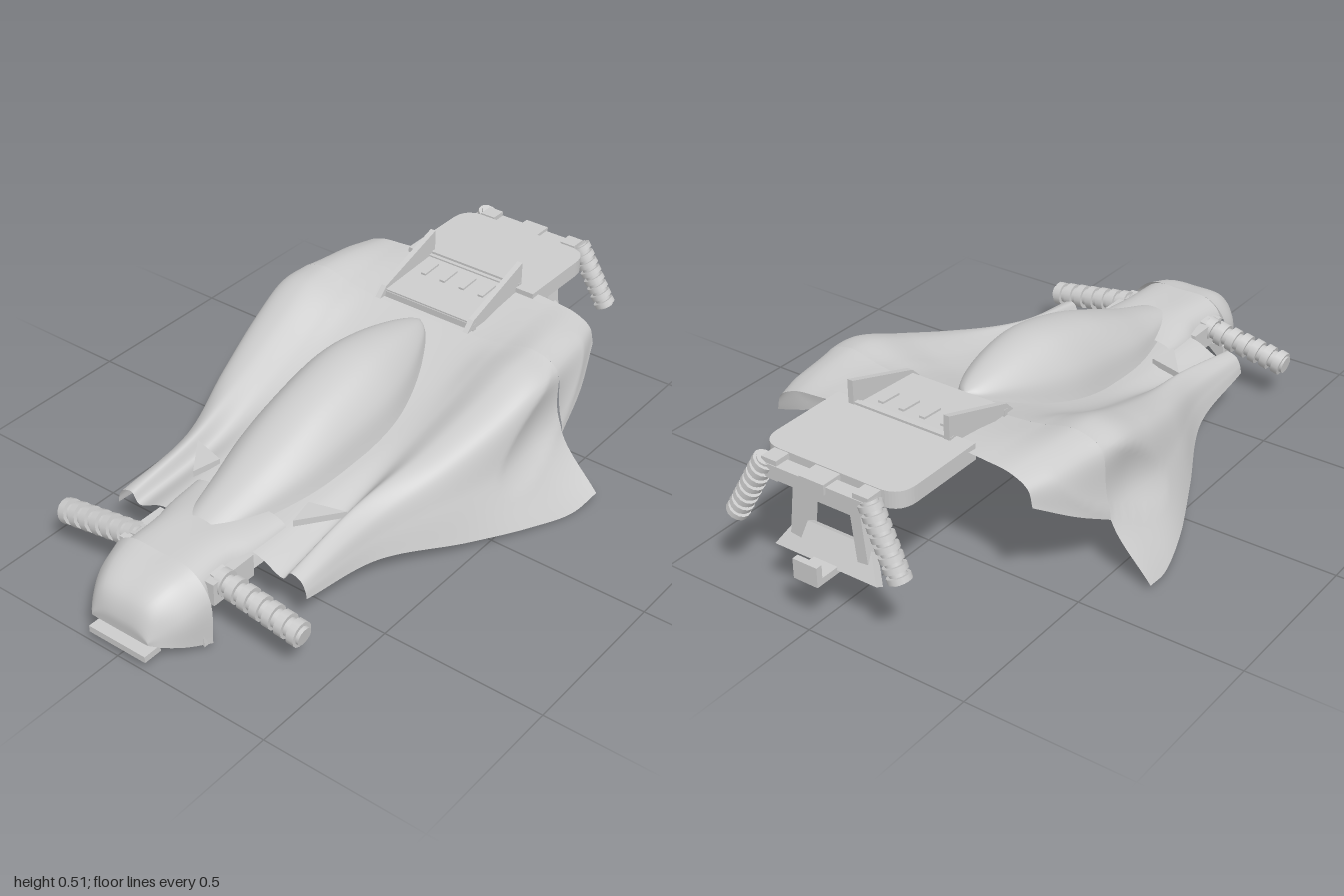
import * as THREE from 'three';

const grey = new THREE.MeshStandardMaterial({ color: 0xcccccc, side: THREE.DoubleSide });
grey.name = 'hull grey';

function add(group, name, geo, x = 0, y = 0, z = 0) {
  const m = new THREE.Mesh(geo, grey);
  m.name = name;
  m.position.set(x, y, z);
  group.add(m);
  return m;
}
const box = (w, h, d) => new THREE.BoxGeometry(w, h, d);

// Smooth mirrored skin through half sections [z, x0, y0, x1, y1, ...], centre to edge
function loft(stations, nz, nx) {
  const count = (stations[0].length - 1) / 2;
  const rails = [];
  for (let i = 0; i < count; i++) {
    rails.push(new THREE.CatmullRomCurve3(
      stations.map(s => new THREE.Vector3(s[1 + 2 * i], s[2 + 2 * i], s[0])), false, 'centripetal'));
  }
  const pos = [], index = [];
  for (let j = 0; j <= nz; j++) {
    const half = rails.map(r => r.getPoint(j / nz));
    const full = half.slice(1).reverse().map(p => new THREE.Vector3(-p.x, p.y, p.z)).concat(half);
    const c = new THREE.CatmullRomCurve3(full, false, 'centripetal');
    for (let i = 0; i <= nx; i++) pos.push(...c.getPoint(i / nx).toArray());
  }
  for (let j = 0; j < nz; j++) for (let i = 0; i < nx; i++) {
    const a = j * (nx + 1) + i, b = a + nx + 1;
    index.push(a, a + 1, b, a + 1, b + 1, b);
  }
  const g = new THREE.BufferGeometry();
  g.setAttribute('position', new THREE.Float32BufferAttribute(pos, 3));
  g.setIndex(index);
  g.computeVertexNormals();
  return g;
}

// Press a shallow slanted lens-shaped hollow into both flanks
function hollowFlanks(g) {
  const p = g.attributes.position;
  for (let i = 0; i < p.count; i++) {
    const x = p.getX(i), dy = p.getY(i) - 0.275, dz = -0.29 - p.getZ(i);
    const along = (dz * 0.86 + dy * 0.5) / 0.27, across = (dy * 0.86 - dz * 0.5) / 0.09;
    const d = Math.max(0, 1 - along * along - across * across);
    const side = THREE.MathUtils.smoothstep(Math.abs(x), 0.38, 0.44);
    p.setX(i, x - Math.sign(x) * 0.018 * d * side);
  }
  g.computeVertexNormals();
  return g;
}

// Extruded outline of [x, y] pairs, centred in depth
function plate(points, depth) {
  const s = new THREE.Shape(points.map(p => new THREE.Vector2(...p)));
  return new THREE.ExtrudeGeometry(s, { depth, bevelEnabled: false }).translate(0, 0, -depth / 2);
}

// Ribbed bar between two points
function ribbedBar(name, a, b, r, ribs) {
  const g = new THREE.Group();
  g.name = name;
  const dir = b.clone().sub(a), len = dir.length();
  add(g, 'barCore', new THREE.CylinderGeometry(r * 0.72, r * 0.72, len, 14), 0, len / 2, 0);
  for (let i = 0; i < ribs; i++) {
    const rib = add(g, 'barRib', new THREE.CylinderGeometry(r, r, len / ribs * 0.58, 14),
      0, len * (i + 0.5) / ribs, 0);
    rib.rotation.z = 0.1;
  }
  g.position.copy(a);
  g.quaternion.setFromUnitVectors(new THREE.Vector3(0, 1, 0), dir.normalize());
  return g;
}

export function createModel() {
  const model = new THREE.Group();
  model.name = 'hoverCraft';

  // Main shell with shoulder pods and flared flanks
  add(model, 'mainShell', hollowFlanks(loft([
    [0.63, 0, .19, .17, .19, .26, .155, .285, .185, .32, .175, .335, .15, .34, .125],
    [0.35, 0, .21, .17, .21, .25, .19, .285, .235, .33, .205, .35, .15, .365, .09],
    [0.1, 0, .25, .18, .25, .25, .255, .33, .29, .40, .27, .44, .17, .48, .045],
    [-0.1, 0, .30, .19, .30, .26, .315, .36, .355, .45, .33, .49, .18, .57, .02],
    [-0.25, 0, .35, .2, .355, .27, .375, .38, .41, .475, .375, .495, .19, .615, .002],
    [-0.35, 0, .385, .2, .39, .28, .40, .39, .42, .48, .375, .5, .18, .63, .02]
  ], 50, 120)));
  add(model, 'rearShell', hollowFlanks(loft([
    [-0.35, 0, .385, .2, .39, .28, .40, .39, .42, .48, .375, .5, .18],
    [-0.48, 0, .41, .2, .412, .28, .415, .38, .418, .455, .38, .475, .25],
    [-0.61, 0, .425, .2, .425, .28, .42, .36, .41, .415, .38, .43, .33]
  ], 24, 120)));

  // Canopy
  const canopy = [
    [0.655, .065, .21, .245], [0.5, .108, .21, .295], [0.35, .145, .22, .355], [0.2, .16, .235, .41],
    [0.02, .165, .26, .448], [-0.1, .14, .29, .446], [-0.22, .09, .34, .425], [-0.3, .04, .37, .402],
    [-0.325, .004, .385, .39]
  ].map(([z, w, lo, hi]) => [z, 0, hi, w * .45, hi - (hi - lo) * .1, w * .85, lo + (hi - lo) * .5, w, lo]);
  add(model, 'canopy', loft(canopy, 44, 32));

  // Neck and blunt nose with upright cheeks
  add(model, 'neck', loft([
    [0.5, 0, .225, .08, .225, .13, .22, .16, .205, .175, .16],
    [0.62, 0, .238, .08, .236, .13, .22, .155, .195, .17, .15],
    [0.7, 0, .24, .08, .238, .12, .22, .14, .19, .155, .14],
    [0.83, 0, .235, .09, .23, .125, .21, .145, .18, .15, .13]
  ], 16, 28));
  add(model, 'nose', loft([
    [0.82, 0, .238, .1, .235, .15, .2, .175, .15, .175, .015],
    [0.9, 0, .218, .09, .213, .13, .18, .155, .13, .155, .045],
    [0.96, 0, .18, .07, .177, .1, .155, .12, .11, .125, .07],
    [0.985, 0, .125, .05, .123, .08, .11, .1, .09, .1, .08],
    [0.985, 0, .08, .05, .08, .08, .08, .1, .08, .1, .078]
  ], 20, 40));
  add(model, 'chinPlate', box(0.2, 0.02, 0.06), 0, 0.042, 0.97);
  add(model, 'chinRiser', box(0.2, 0.035, 0.02), 0, 0.062, 0.935);
  add(model, 'chinPanel', box(0.24, 0.015, 0.1), 0, 0.08, 0.91);

  for (const s of [-1, 1]) {
    // Cheek wedge under the nose
    add(model, 'noseCheek', plate([[s * .1, .08], [s * .168, .08], [s * .172, .02]], 0.03), 0, 0, 0.835);
    // Front grips and mounts
    model.add(ribbedBar('frontGrip', new THREE.Vector3(s * 0.14, 0.176, 0.75),
      new THREE.Vector3(s * 0.43, 0.128, 0.75), 0.038, 7));
    add(model, 'gripMount', box(0.035, 0.07, 0.16), s * 0.15, 0.16, 0.72);
    add(model, 'gripBlock', box(0.05, 0.08, 0.05), s * 0.135, 0.16, 0.75).rotation.z = -s * 0.2;
    // Small gusset beside the canopy
    const gusset = add(model, 'gusset',
      plate([[s * .16, -.4], [s * .27, -.37], [s * .18, -.49]], 0.02), 0, 0.212, 0);
    gusset.rotation.x = -Math.PI / 2;
    // Upright fin of the deck vent
    const fin = add(model, 'ventFin', plate([[-.33, .40], [-.61, .40], [-.61, .51], [-.36, .43]], 0.018), s * 0.16, 0, 0);
    fin.rotation.y = -Math.PI / 2;
    fin.position.z = 0;
    // Rear grips
    model.add(ribbedBar('rearGrip', new THREE.Vector3(s * 0.17, 0.43, -0.935),
      new THREE.Vector3(s * 0.275, 0.235, -0.95), 0.033, 8));
    // Uprights of the rear frame
    add(model, 'frameUpright', box(0.035, 0.2, 0.06), s * 0.1, 0.3, -0.875).rotation.z = s * 0.12;
    add(model, 'frameShoulder', box(0.05, 0.06, 0.05), s * 0.15, 0.41, -0.92);
  }

  // Deck vent with four slots
  add(model, 'ventPanel', box(0.31, 0.015, 0.25), 0, 0.42, -0.485).rotation.x = 0.06;
  add(model, 'ventRearLip', box(0.34, 0.03, 0.015), 0, 0.43, -0.6);
  add(model, 'ventFrontLip', box(0.34, 0.02, 0.015), 0, 0.405, -0.365);
  for (let i = 0; i < 4; i++) {
    add(model, 'ventSlot', box(0.018, 0.012, 0.07), -0.105 + i * 0.07, 0.43, -0.52).rotation.x = 0.06;
  }

  // Tail deck with rounded rear corners
  const deck = new THREE.Shape();
  deck.moveTo(-0.23, 0.58);
  deck.lineTo(0.23, 0.58);
  deck.lineTo(0.23, 0.82);
  deck.quadraticCurveTo(0.23, 0.89, 0.16, 0.89);
  deck.lineTo(-0.16, 0.89);
  deck.quadraticCurveTo(-0.23, 0.89, -0.23, 0.82);
  const tail = add(model, 'tailDeck',
    new THREE.ExtrudeGeometry(deck, { depth: 0.05, bevelEnabled: false }), 0, 0.388, 0);
  tail.rotation.x = -Math.PI / 2;

  // Rear frame with step plate and hitch
  add(model, 'frameTopBar', box(0.34, 0.04, 0.045), 0, 0.405, -0.925);
  add(model, 'frameCap', box(0.08, 0.03, 0.07), 0, 0.42, -0.92);
  add(model, 'frameMidBar', box(0.2, 0.06, 0.05), 0, 0.36, -0.875);
  add(model, 'frameInnerBlock', box(0.18, 0.05, 0.035), 0, 0.33, -0.83);
  const step = add(model, 'stepPlate',
    plate([[-.17, -.045], [.17, -.045], [.12, .045], [-.12, .045]], 0.03), 0, 0.195, -0.89);
  step.rotation.x = 0.5;
  add(model, 'hitchFloor', box(0.08, 0.02, 0.1), 0, 0.16, -0.95);
  add(model, 'hitchTip', box(0.08, 0.06, 0.02), 0, 0.18, -0.99);

  return model;
}
